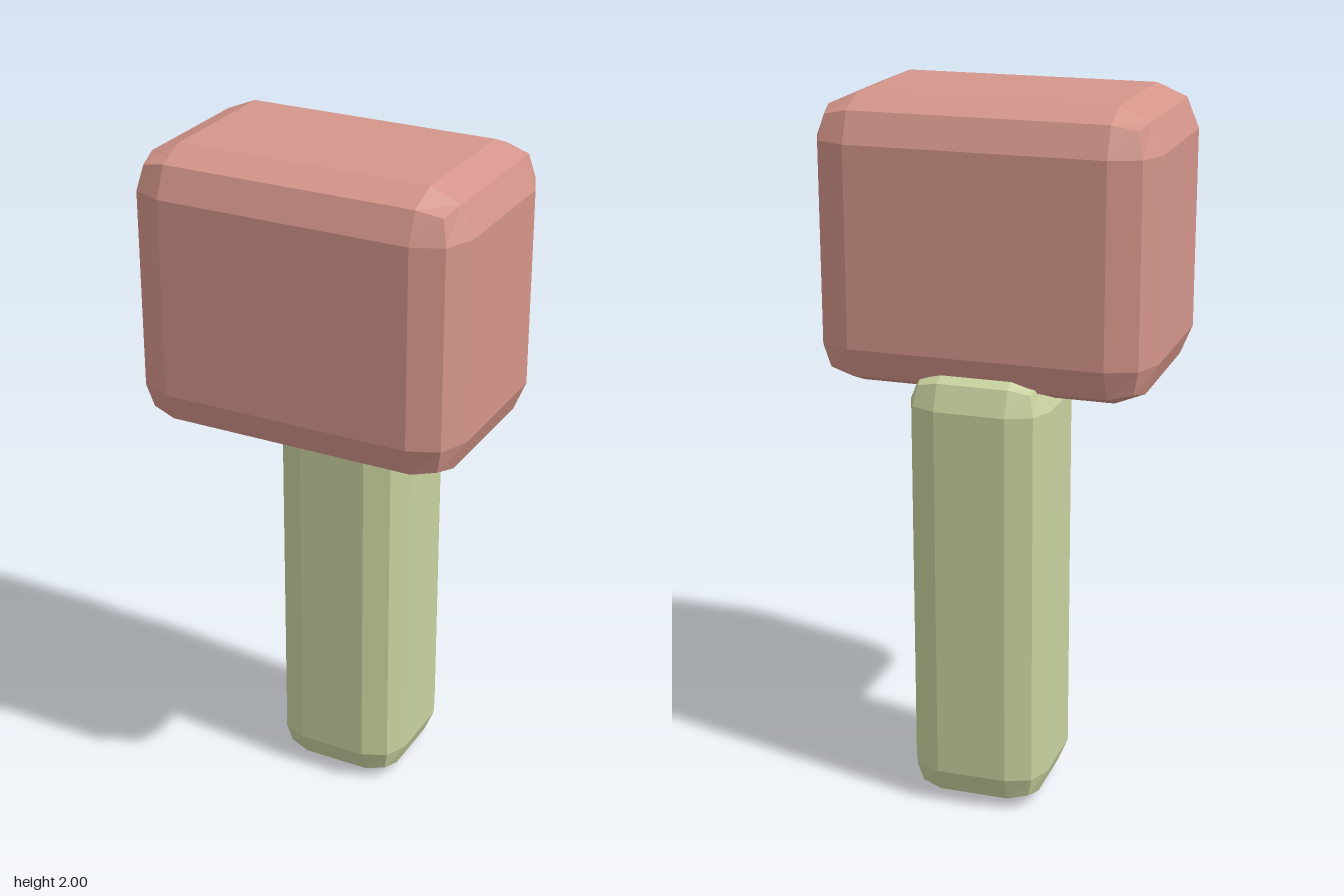
import * as THREE from 'three';
import { RoundedBoxGeometry } from 'three/addons/geometries/RoundedBoxGeometry.js';

export function createModel() {
  const model = new THREE.Group();
  model.name = 'mallet';

  const clay = new THREE.MeshStandardMaterial({ name: 'clay pink', color: 0xd4958a, flatShading: true });
  const sage = new THREE.MeshStandardMaterial({ name: 'sage green', color: 0xc8d19e, flatShading: true });

  // Low-poly block with two-step bevelled edges
  function block(name, size, radius, position, material) {
    const mesh = new THREE.Mesh(new RoundedBoxGeometry(...size, 1, radius), material);
    mesh.name = name;
    mesh.position.set(...position);
    model.add(mesh);
  }

  // Wide head, set forward of the handle
  block('head', [0.96, 0.8, 0.64], 0.12, [0, 1.6, 0.02], clay);
  // Square handle, its top sunk into the head and showing behind it
  block('handle', [0.4, 1.28, 0.4], 0.1, [0, 0.64, -0.14], sage);

  return model;
}
